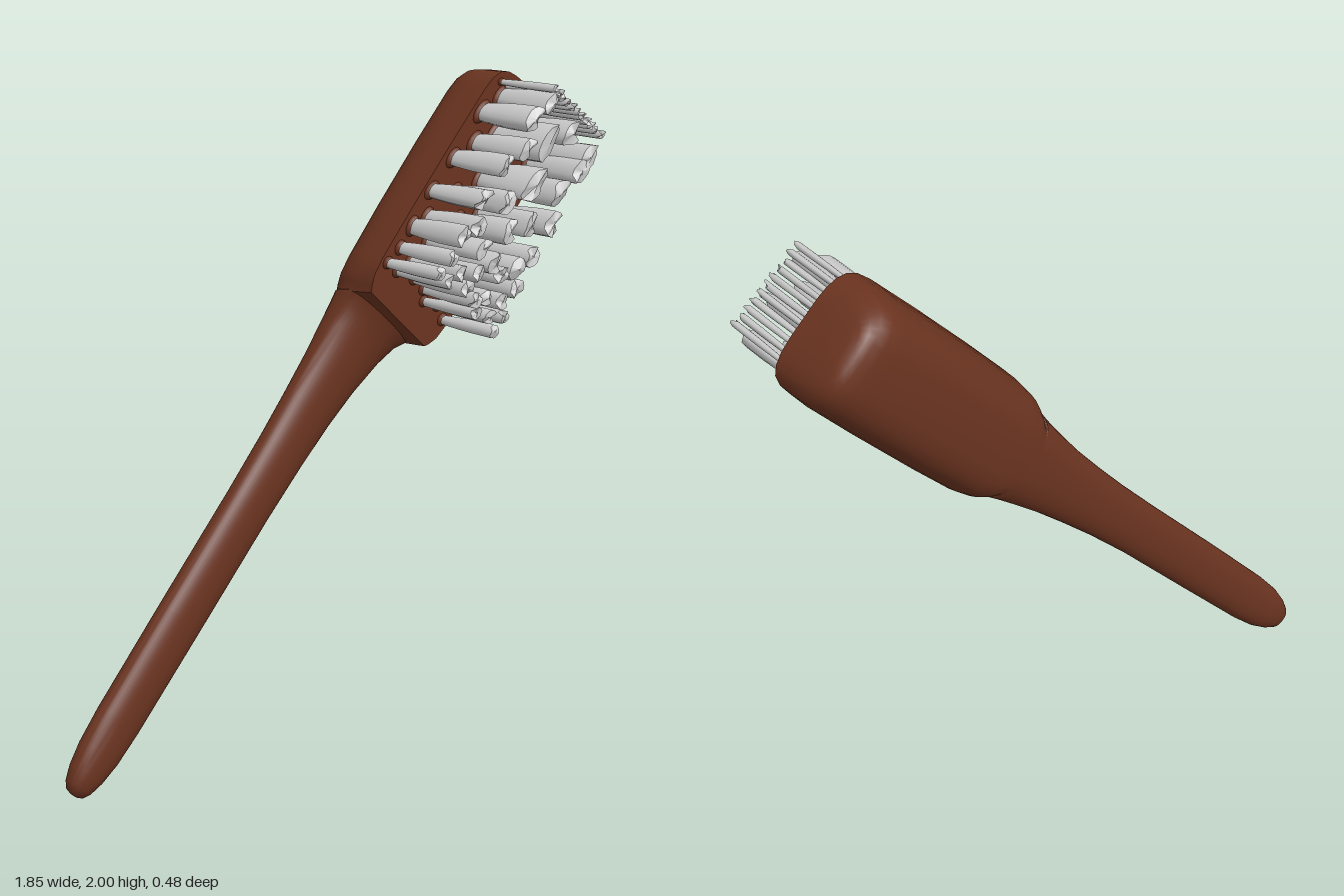
import * as THREE from 'three';
import { toCreasedNormals } from 'three/addons/utils/BufferGeometryUtils.js';

const TILT = THREE.MathUtils.degToRad(-42);
const wood = new THREE.MeshStandardMaterial({ color: 0x6b3420 });
const hair = new THREE.MeshStandardMaterial({ color: 0xcccccc, side: THREE.DoubleSide });

// Signed power, used for superellipse cross-sections
const spow = (v, e) => Math.sign(v) * Math.pow(Math.abs(v), e);

// Repeatable pseudo-random value in 0..1
const hash = (n) => {
  const v = Math.sin(n * 127.1 + 11.7) * 43758.5453;
  return v - Math.floor(v);
};

// Stations along the brush: position, half width, front z, back z, oval (0) to flat-fronted (1)
const STATIONS = [
  [-0.602, 0.012, -0.125, -0.145, 0],
  [-0.595, 0.030, -0.112, -0.162, 0],
  [-0.575, 0.044, -0.101, -0.174, 0],
  [-0.53, 0.060, -0.093, -0.183, 0],
  [-0.46, 0.074, -0.09, -0.186, 0],
  [-0.35, 0.081, -0.09, -0.187, 0],
  [0.0, 0.084, -0.09, -0.188, 0],
  [0.4, 0.085, -0.09, -0.19, 0],
  [0.6, 0.090, -0.09, -0.194, 0],
  [0.75, 0.098, -0.088, -0.199, 0],
  [0.88, 0.108, -0.08, -0.206, 0.05],
  [1.0, 0.124, -0.068, -0.213, 0.15],
  [1.07, 0.136, -0.056, -0.217, 0.3],
  [1.105, 0.146, -0.042, -0.219, 0.5],
  [1.113, 0.150, 0, -0.219, 1],
  [1.13, 0.162, 0, -0.220, 1],
  [1.16, 0.176, 0, -0.222, 1],
  [1.22, 0.184, 0, -0.224, 1],
  [1.4, 0.187, 0, -0.230, 1],
  [1.65, 0.187, 0, -0.235, 1],
  [1.85, 0.184, 0, -0.236, 1],
  [1.9, 0.178, 0, -0.233, 1],
  [1.935, 0.162, 0, -0.226, 1],
  [1.955, 0.136, 0, -0.215, 1],
  [1.966, 0.1, 0, -0.2, 1],
  [1.97, 0.06, 0, -0.18, 1],
];

// Handle, neck and head as one loft through the stations
function bodyGeometry() {
  const N = 40, pos = [], idx = [];
  for (const [s, w, zf, zb, k] of STATIONS) {
    const centre = -0.684 + 0.013 * THREE.MathUtils.smoothstep(s, 0.2, 1.3);
    for (let i = 0; i < N; i++) {
      const a = (i / N) * Math.PI * 2, c = Math.cos(a), q = Math.sin(a);
      const ox = w * spow(c, 0.9), oz = (zf + zb) / 2 + ((zf - zb) / 2) * spow(q, 0.9);
      const back = q < -1e-6;
      const dx = back ? w * spow(c, 0.62) : w * c;
      const dz = back ? zf + (zb - zf) * Math.pow(-q, 0.62) : zf;
      pos.push(centre + ox + (dx - ox) * k, s, oz + (dz - oz) * k);
    }
  }
  const rows = STATIONS.length;
  for (let r = 0; r < rows - 1; r++) {
    for (let i = 0; i < N; i++) {
      const a = r * N + i, b = r * N + ((i + 1) % N);
      idx.push(a, a + N, b, b, a + N, b + N);
    }
  }
  // Close both ends with fans
  const first = STATIONS[0], last = STATIONS[rows - 1];
  const c0 = rows * N, c1 = c0 + 1, top = (rows - 1) * N;
  pos.push(-0.684, first[0], -0.135, -0.671, last[0], last[3] / 2);
  for (let i = 0; i < N; i++) {
    const j = (i + 1) % N;
    idx.push(c0, i, j, c1, top + j, top + i);
  }
  const g = new THREE.BufferGeometry();
  g.setAttribute('position', new THREE.Float32BufferAttribute(pos, 3));
  g.setIndex(idx);
  return toCreasedNormals(g, 0.75);
}

// Fluted tuft, narrow at the root, with a ragged tip
function tuftGeometry(seed) {
  const sides = 14, height = 0.23;
  const g = new THREE.CylinderGeometry(1, 1, height, sides, 5);
  const p = g.attributes.position;
  for (let i = 0; i < p.count; i++) {
    const x = p.getX(i), z = p.getZ(i), h = p.getY(i) / height + 0.5;
    const rim = Math.hypot(x, z) > 0.5;
    const k = (Math.round((Math.atan2(z, x) / (Math.PI * 2)) * sides) + sides) % sides;
    const flute = 0.92 + 0.16 * hash(seed * 31 + k);
    const r = (0.68 + 0.32 * Math.sin(Math.min(1, h * 1.3) * Math.PI / 2)) * flute;
    const tip = h > 0.99 ? (rim ? (hash(seed * 17 + k) - 0.6) * 0.03 : 0.004) : 0;
    p.setXYZ(i, x * r, h * height + tip, z * r);
  }
  g.rotateX(Math.PI / 2);
  g.computeVertexNormals();
  return g;
}

// Tufts on the head: x, y, half length
const TUFTS = [
  [0.59, 1.88, 0.045], [0.67, 1.92, 0.042], [0.47, 1.75, 0.038], [0.56, 1.79, 0.042],
  [0.65, 1.80, 0.068], [0.76, 1.82, 0.042], [0.84, 1.74, 0.046], [0.71, 1.64, 0.046],
  [0.80, 1.70, 0.045], [0.60, 1.68, 0.062], [0.48, 1.64, 0.038], [0.38, 1.66, 0.036],
  [0.36, 1.58, 0.036], [0.30, 1.56, 0.036], [0.49, 1.55, 0.042], [0.58, 1.56, 0.042],
  [0.68, 1.55, 0.044], [0.37, 1.51, 0.038], [0.43, 1.46, 0.038], [0.25, 1.50, 0.026],
  [0.29, 1.45, 0.026], [0.20, 1.46, 0.022], [0.24, 1.43, 0.024], [0.36, 1.44, 0.028],
  [0.31, 1.40, 0.026], [0.46, 1.42, 0.030], [0.53, 1.43, 0.038], [0.59, 1.46, 0.034],
  [0.52, 1.37, 0.032], [0.35, 1.36, 0.024], [0.40, 1.36, 0.026], [0.46, 1.34, 0.026],
  [0.35, 1.32, 0.020], [0.41, 1.30, 0.024], [0.47, 1.29, 0.022], [0.43, 1.25, 0.022],
];

export function createModel() {
  const model = new THREE.Group();
  model.name = 'brush';

  const body = new THREE.Mesh(bodyGeometry(), wood);
  body.name = 'handleAndHead';
  body.rotation.z = TILT;
  model.add(body);

  const bristles = new THREE.Group();
  bristles.name = 'bristles';
  model.add(bristles);

  const collarGeo = new THREE.SphereGeometry(1, 14, 8);
  const addTuft = (x, y, half, wide, seed) => {
    const spot = new THREE.Group();
    spot.name = 'tuft';
    spot.position.set(x, y, 0);
    spot.rotation.z = TILT + (hash(seed + 0.5) - 0.5) * 0.3;
    const tuft = new THREE.Mesh(tuftGeometry(seed), hair);
    tuft.name = 'bristleTuft';
    tuft.scale.set(wide, half, 1);
    const collar = new THREE.Mesh(collarGeo, wood);
    collar.name = 'tuftCollar';
    collar.scale.set(wide * 0.98, half * 0.98, 0.018);
    spot.add(tuft, collar);
    bristles.add(spot);
  };

  TUFTS.forEach(([x, y, half], i) => addTuft(x, y, half, half * 0.3 + 0.011, i + 1));

  // Row of thin tufts along the far edge of the head
  for (let i = 0; i < 11; i++) {
    const f = i / 10;
    addTuft(0.67 + 0.215 * f, 1.965 - 0.16 * f, 0.013, 0.010, 60 + i);
  }
  return model;
}
